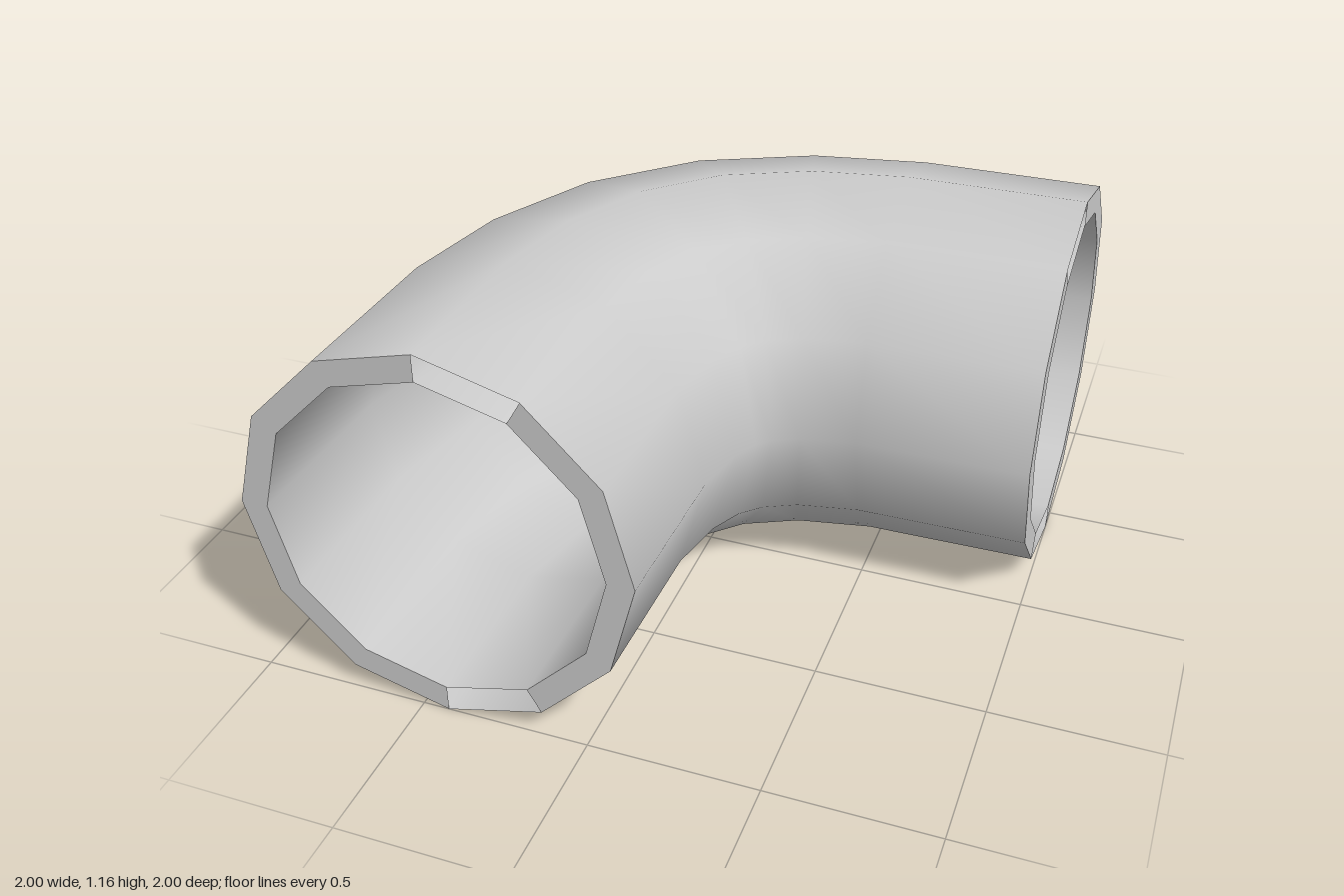
import * as THREE from 'three';

const SIDES = 12;
const RADIUS = 0.58;
const BORE = 0.5 / RADIUS;

// First half of the bend: [x, z] on the outside and on the inside of the curve.
const half = [
  [[-1, 1], [0.156, 1]],
  [[-0.99, 0.45], [0.163, 0.5]],
  [[-0.91, 0.045], [0.196, 0.34]],
  [[-0.71, -0.37], [0.232, 0.268]],
];
// The second half mirrors the first across the diagonal.
const swap = ([a, b]) => [[a[1], a[0]], [b[1], b[0]]];
const sections = [...half, ...half.slice().reverse().map(swap)];

// One cross-section ring, scaled for the outer wall or the bore.
function ring([out, inn], scale) {
  const cx = (out[0] + inn[0]) / 2, cz = (out[1] + inn[1]) / 2;
  const ux = (inn[0] - out[0]) / 2 * scale, uz = (inn[1] - out[1]) / 2 * scale;
  return Array.from({ length: SIDES }, (_, j) => {
    const a = j / SIDES * Math.PI * 2;
    return [cx + ux * Math.cos(a), RADIUS + RADIUS * scale * Math.sin(a), cz + uz * Math.cos(a)];
  });
}

function makeMesh(name, points, index, material) {
  const geo = new THREE.BufferGeometry();
  geo.setAttribute('position', new THREE.Float32BufferAttribute(points.flat(), 3));
  geo.setIndex(index);
  geo.computeVertexNormals();
  const mesh = new THREE.Mesh(geo, material);
  mesh.name = name;
  return mesh;
}

// Smooth tube through all sections, facing outwards or inwards.
function wall(name, scale, inward, material) {
  const points = sections.flatMap(s => ring(s, scale));
  const index = [];
  for (let i = 0; i < sections.length - 1; i++) {
    for (let j = 0; j < SIDES; j++) {
      const k = (j + 1) % SIDES;
      const a = i * SIDES + j, b = i * SIDES + k, c = b + SIDES, d = a + SIDES;
      index.push(...(inward ? [a, b, d, b, c, d] : [a, d, b, b, d, c]));
    }
  }
  return makeMesh(name, points, index, material);
}

// Flat ring joining the walls at an open end; two segments are left open.
function rim(name, section, flip, material) {
  const points = [...ring(section, 1), ...ring(section, BORE)];
  const index = [];
  for (let j = 0; j < SIDES; j++) {
    if (j === 2 || j === 9) continue;
    const k = (j + 1) % SIDES;
    const a = j, b = k, c = k + SIDES, d = j + SIDES;
    index.push(...(flip ? [a, c, b, a, d, c] : [a, b, c, a, c, d]));
  }
  return makeMesh(name, points, index, material);
}

export function createModel() {
  const material = new THREE.MeshStandardMaterial({ color: 0xcccccc, side: THREE.DoubleSide });
  const group = new THREE.Group();
  group.name = 'pipeElbow';
  group.add(
    wall('outerWall', 1, false, material),
    wall('innerWall', BORE, true, material),
    rim('frontRim', sections[0], false, material),
    rim('sideRim', sections[sections.length - 1], true, material),
  );
  return group;
}
